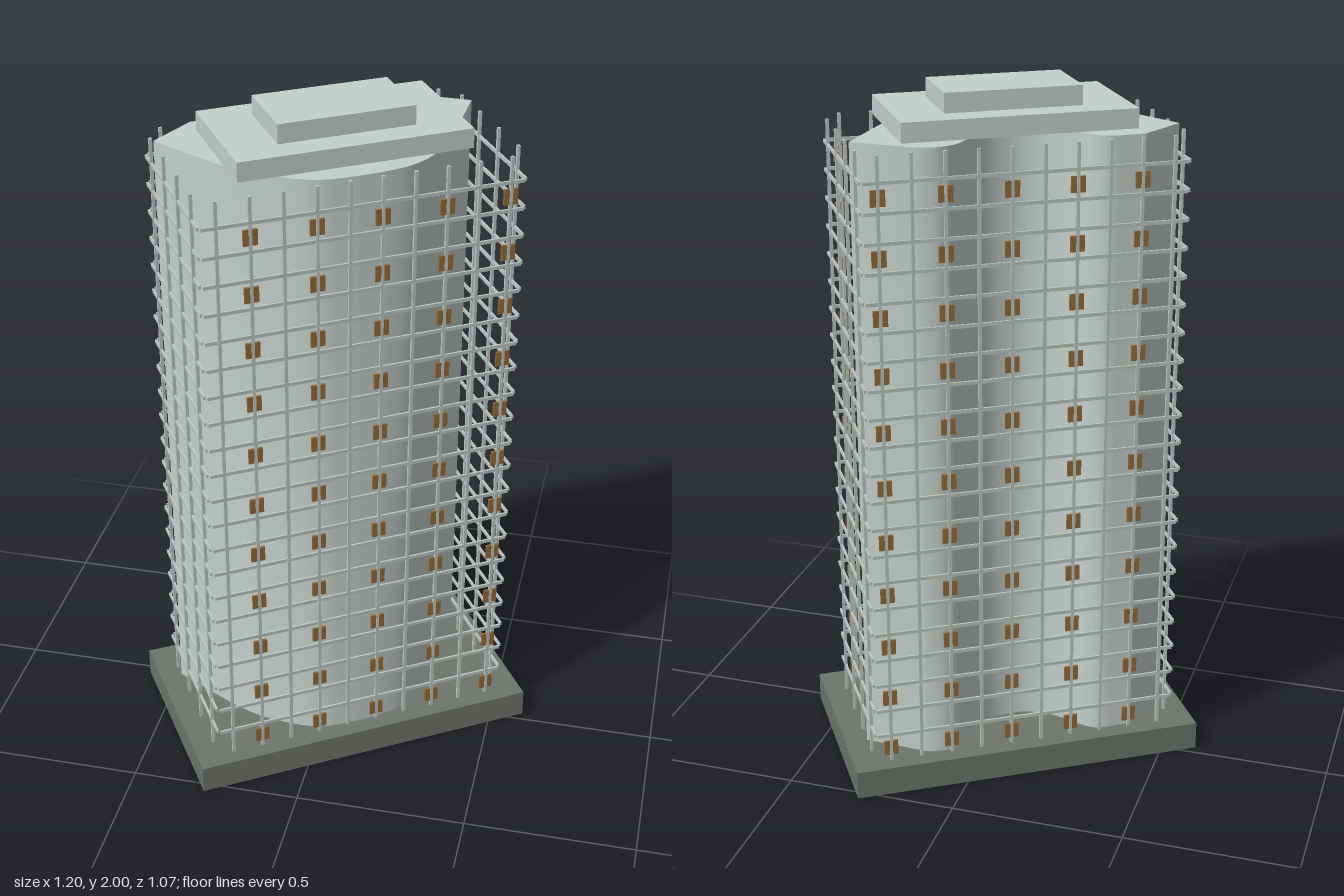
import * as THREE from 'three';
import { toCreasedNormals } from 'three/addons/utils/BufferGeometryUtils.js';

const paint = (name, color) => Object.assign(new THREE.MeshStandardMaterial({ color }), { name });

export function createModel() {
  const model = new THREE.Group();
  model.name = 'tower';
  const wall = paint('pale grey green', 0xc5d0cb);
  const stone = paint('dark stone', 0x6f746d);
  const steel = paint('light steel', 0xbcc7c2);
  const wood = paint('brown', 0x946a38);

  // Everything except the core is aligned to a plot turned about the vertical
  const plot = new THREE.Group();
  plot.name = 'plot';
  plot.rotation.y = 0.568;
  model.add(plot);

  function box(parent, name, mat, w, h, d, x, y, z) {
    const mesh = new THREE.Mesh(new THREE.BoxGeometry(w, h, d), mat);
    mesh.name = name;
    mesh.position.set(x, y, z);
    parent.add(mesh);
  }

  const baseTop = 0.085, roof = 1.89, lift = 0.0004;
  box(plot, 'base', stone, 1.04, baseTop - lift, 0.6, 0, (baseTop + lift) / 2, 0);
  box(plot, 'roofSlab', wall, 0.655, 0.055, 0.365, 0, roof + 0.0275, 0);
  box(plot, 'roofCap', wall, 0.385, 0.055, 0.214, 0, 1.9725, 0);

  // Core: a curved plan with a hollow at the back, as (x, z) runs between sharp corners
  const runs = [
    [[-0.465, 0.117], [-0.235, 0.237], [-0.1, 0.27], [0.015, 0.269], [0.098, 0.23],
      [0.15, 0.197], [0.194, 0.164], [0.243, 0.115], [0.28, 0.045], [0.3, -0.05], [0.308, -0.14], [0.316, -0.352]],
    [[0.316, -0.352], [0.13, -0.36]],
    [[0.13, -0.36], [0.1, -0.351], [0.066, -0.331], [0.038, -0.288], [0.03, -0.225], [0.022, -0.165],
      [-0.01, -0.11], [-0.08, -0.06], [-0.16, -0.05], [-0.24, -0.07], [-0.271, -0.082], [-0.32, -0.085],
      [-0.368, -0.056], [-0.407, -0.03]],
    [[-0.407, -0.03], [-0.465, 0.117]],
  ];
  const outline = [];
  for (const run of runs) {
    const pts = run.map(([x, z]) => new THREE.Vector2(x, -z));
    const curve = pts.length > 2 ? new THREE.SplineCurve(pts).getPoints(36) : pts;
    outline.push(...curve.slice(0, -1));
  }
  const coreGeo = new THREE.ExtrudeGeometry(new THREE.Shape(outline), { depth: roof, bevelEnabled: false });
  coreGeo.rotateX(-Math.PI / 2);
  const core = new THREE.Mesh(toCreasedNormals(coreGeo, 0.5), wall);
  core.name = 'core';
  model.add(core);

  // Open frame on the four sides: rails at every floor, posts at bay centres
  const floors = 22, storey = (roof - baseTop) / floors;
  function frameSide(name, length, distance, angle, bays, slots) {
    const side = new THREE.Group();
    side.name = name;
    side.rotation.y = angle;
    plot.add(side);
    const bay = length / bays;
    for (let f = 1; f < floors; f++)
      box(side, 'rail', steel, length - 0.012, 0.01, 0.006, 0, baseTop + f * storey, distance);
    for (let i = 0; i < bays; i++) {
      const x = (i + 0.5 - bays / 2) * bay;
      box(side, 'post', steel, 0.009, roof - baseTop - 0.008, 0.009, x, (roof + baseTop) / 2 - 0.004, distance);
      // Brown panels in every second bay and storey
      if (i % 2 !== slots) continue;
      for (let f = 0; f < floors; f += 2)
        box(side, 'panel', wood, 0.04, 0.045, 0.007, x, baseTop + (f + 0.5) * storey, distance);
    }
  }
  frameSide('frontFrame', 0.908, 0.2525, 0, 10, 1);
  frameSide('backFrame', 0.908, 0.2525, Math.PI, 10, 0);
  frameSide('leftFrame', 0.505, 0.454, Math.PI / 2, 4, -1);
  frameSide('rightFrame', 0.505, 0.454, -Math.PI / 2, 4, -1);

  return model;
}
